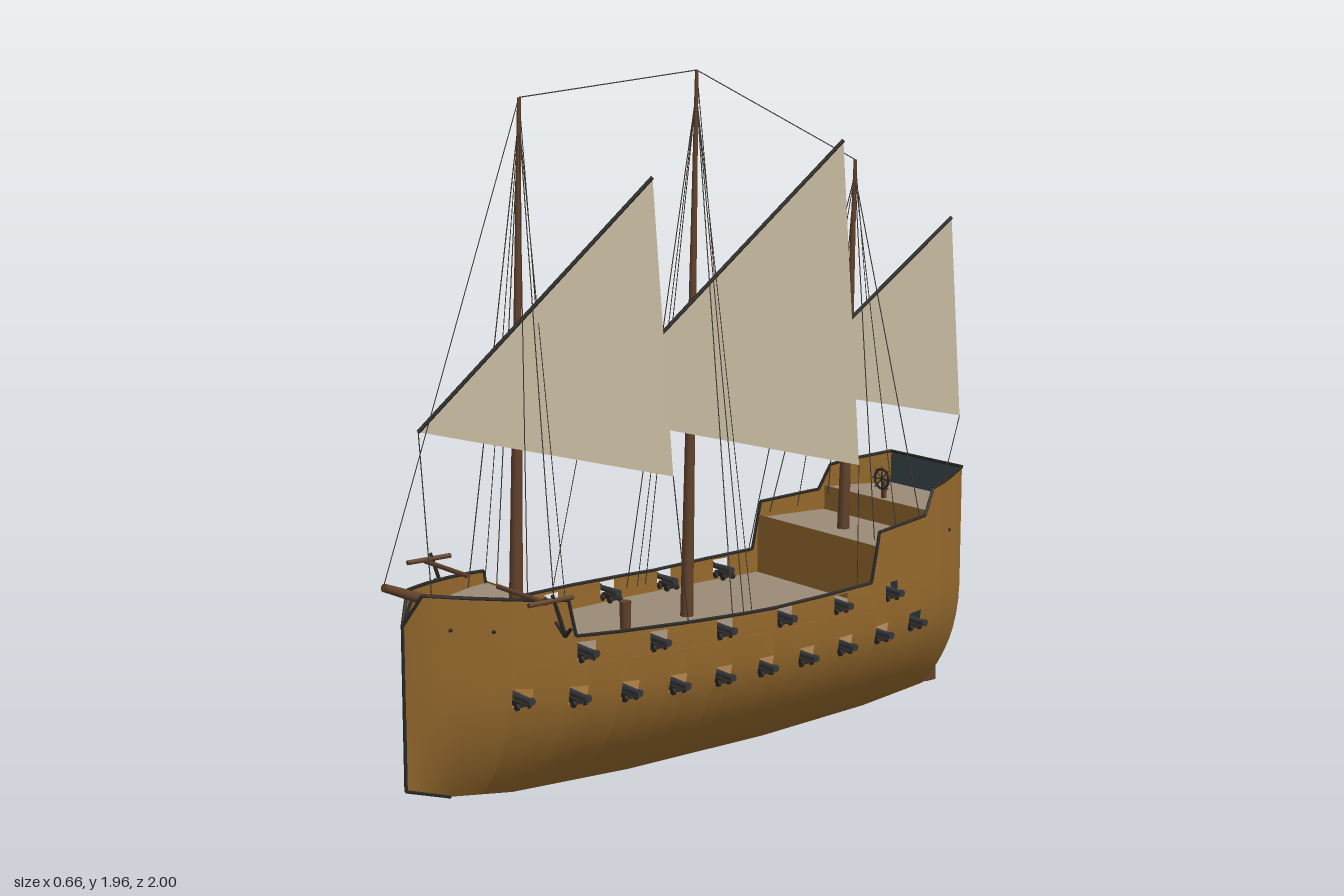
import * as THREE from 'three';

const mat = (name, color, side = THREE.FrontSide) => {
  const m = new THREE.MeshStandardMaterial({ color, side });
  m.name = name;
  return m;
};
const V = (x, y, z) => new THREE.Vector3(x, y, z);

// Piecewise-linear lookup in [z, value] points with descending z
function lookup(pts, z) {
  for (let i = 1; i < pts.length; i++) {
    const [a, va] = pts[i - 1], [b, vb] = pts[i];
    if (z >= b) return va + (vb - va) * Math.min(1, Math.max(0, (a - z) / (a - b)));
  }
  return pts[pts.length - 1][1];
}
const BEAM = [[0.94, 0], [0.9, 0.037], [0.85, 0.07], [0.8, 0.1], [0.7, 0.149], [0.6, 0.187], [0.5, 0.214],
  [0.4, 0.235], [0.2, 0.262], [0, 0.275], [-0.3, 0.275], [-0.5, 0.266], [-0.7, 0.24], [-0.8, 0.217], [-0.85, 0.2], [-0.95, 0.155]];
const KEEL = [[0.94, 0.1], [0.8, 0.055], [0.6, 0.025], [0.2, 0.007], [-0.3, 0.005], [-0.7, 0.02], [-0.95, 0.045]];
const RAIL = [[0.94, 0.55], [0.9, 0.635], [0.55, 0.6], [0.53, 0.5], [-0.1, 0.485], [-0.48, 0.495],
  [-0.51, 0.64], [-0.72, 0.655], [-0.76, 0.73], [-0.95, 0.76]];
const LOWER_GUNS = Array.from({ length: 10 }, (_, i) => 0.67 - i * 0.1505);
const UPPER_GUNS = Array.from({ length: 6 }, (_, i) => 0.5 - i * 0.214);
const PORT = 0.026;
const lowerY = z => 0.32 + 0.05 * z * z;
const upperY = 0.456;

// Half width of the hull at height y and station z
function halfWidth(z, y) {
  const k = lookup(KEEL, z), u = Math.min(1, Math.max(0, (y - k) / (0.42 - k)));
  return lookup(BEAM, z) * (1 - Math.pow(1 - u, 2.3));
}

// All stations along the hull, including the gun port edges
const STATIONS = [...new Set([...BEAM, ...KEEL, ...RAIL].map(p => p[0])
  .concat(...[...LOWER_GUNS, ...UPPER_GUNS].map(z => [z - PORT, z + PORT]))
  .map(z => +z.toFixed(3)))].sort((a, b) => a - b);

// Hull skin for one side, with open gun ports
function hullSide(s) {
  const pos = [], index = [], low = 9, n = low + 5;
  for (const z of STATIONS) {
    const k = lookup(KEEL, z), ys = [], first = lowerY(z) - PORT;
    for (let j = 0; j < low; j++) ys.push(k + (first - k) * Math.pow(j / low, 1.4));
    ys.push(first, lowerY(z) + PORT, upperY - PORT, upperY + PORT, lookup(RAIL, z));
    for (const y of ys) pos.push(s * halfWidth(z, y), y, z);
  }
  for (let i = 0; i < STATIONS.length - 1; i++) {
    const mid = (STATIONS[i] + STATIONS[i + 1]) / 2;
    const open = list => list.some(z => Math.abs(z - mid) < PORT);
    for (let j = 0; j < n - 1; j++) {
      if ((j === low && open(LOWER_GUNS)) || (j === low + 2 && open(UPPER_GUNS))) continue;
      const a = i * n + j, b = a + 1, c = b + n, d = a + n;
      if (s > 0) index.push(a, b, c, a, c, d);
      else index.push(a, c, b, a, d, c);
    }
  }
  return buffer(pos, index);
}
function buffer(pos, index) {
  const g = new THREE.BufferGeometry();
  g.setAttribute('position', new THREE.Float32BufferAttribute(pos, 3));
  g.setIndex(index);
  g.computeVertexNormals();
  return g;
}
// Flat ribbon through pairs of points
function strip(pairs) {
  const index = [];
  for (let i = 0; i < pairs.length - 1; i++) {
    const a = 2 * i;
    index.push(a, a + 1, a + 3, a, a + 3, a + 2);
  }
  return buffer(pairs.flatMap(([p, q]) => [...p.toArray(), ...q.toArray()]), index);
}
const across = (z, y) => [V(-halfWidth(z, y), y, z), V(halfWidth(z, y), y, z)];

export function createModel() {
  const ship = new THREE.Group();
  ship.name = 'sailingShip';
  const hullMat = mat('hullWood', 0x94682c, THREE.DoubleSide);
  const deckMat = mat('deckPlanks', 0x9a8b76, THREE.DoubleSide);
  const sailMat = mat('sailCloth', 0xcabea2, THREE.DoubleSide);
  const slate = mat('sternSlate', 0x3c484d, THREE.DoubleSide);
  const spar = mat('sparWood', 0x60402a);
  const dark = mat('darkTrim', 0x2b2926);
  const iron = mat('gunIron', 0x33363a);
  const ropeMat = mat('rope', 0x3d3730);

  const add = (name, geo, m, parent = ship) => {
    const mesh = new THREE.Mesh(geo, m);
    mesh.name = name;
    parent.add(mesh);
    return mesh;
  };
  // Tapered rod between two points
  const rod = (name, a, b, r0, r1, m, parent = ship, sides = 8) => {
    const d = b.clone().sub(a);
    const mesh = add(name, new THREE.CylinderGeometry(r1, r0, d.length(), sides), m, parent);
    mesh.position.copy(a).add(b).multiplyScalar(0.5);
    mesh.quaternion.setFromUnitVectors(V(0, 1, 0), d.normalize());
    return mesh;
  };
  const rope = (a, b) => rod('rope', a, b, 0.0015, 0.0015, ropeMat, ship, 4);
  const box = (name, w, h, d, x, y, z, m, parent = ship) => {
    const mesh = add(name, new THREE.BoxGeometry(w, h, d), m, parent);
    mesh.position.set(x, y, z);
    return mesh;
  };

  // Hull, rail caps, stem and transom
  const trimLine = (name, pts) => {
    for (let i = 1; i < pts.length; i++) rod(name, pts[i - 1], pts[i], 0.005, 0.005, dark, ship, 5);
  };
  const railStations = [...new Set([...BEAM, ...RAIL].map(p => p[0]))].sort((a, b) => a - b);
  for (const s of [1, -1]) {
    add('hullSide', hullSide(s), hullMat);
    trimLine('railCap', railStations.map(z => V(s * halfWidth(z, lookup(RAIL, z)), lookup(RAIL, z), z)));
  }
  trimLine('stem', [V(0, 0.055, 0.8), V(0, 0.1, 0.94), V(0, 0.55, 0.94), V(0, 0.63, 0.905)]);
  const sternYs = Array.from({ length: 17 }, (_, i) => 0.045 + 0.715 * Math.pow(i / 16, 1.5));
  add('transom', strip(sternYs.map(y => across(-0.95, y))), slate);
  trimLine('transomTop', across(-0.95, 0.76));

  // Stepped decks and the bulkheads between them
  for (const [name, y, z0, z1] of [['mainDeck', 0.42, -0.51, 0.54], ['foreDeck', 0.565, 0.54, 0.9],
    ['quarterDeck', 0.59, -0.74, -0.5], ['poopDeck', 0.66, -0.95, -0.74]]) {
    const zs = [z0, ...railStations.filter(z => z > z0 && z < z1), z1];
    add(name, strip(zs.map(z => across(z, y))), deckMat);
  }
  for (const [z, y0, y1] of [[0.54, 0.42, 0.57], [-0.5, 0.42, 0.6], [-0.74, 0.59, 0.665]])
    add('bulkhead', strip([across(z, y0), across(z, y1)]), hullMat);

  // Rudder and stern post
  box('sternPost', 0.014, 0.65, 0.012, 0, 0.375, -0.956, spar);
  box('rudder', 0.018, 0.17, 0.04, 0, 0.135, -0.98, spar);

  // Bowsprit
  rod('bowsprit', V(0, 0.555, 0.735), V(0, 0.665, 0.995), 0.019, 0.011, spar);

  // Cannons in the ports
  const cannon = (s, z, y) => {
    const g = new THREE.Group();
    g.name = 'cannon';
    rod('barrel', V(-0.05, 0, 0), V(0.05, 0, 0), 0.011, 0.008, iron, g);
    rod('muzzle', V(0.044, 0, 0), V(0.053, 0, 0), 0.011, 0.011, iron, g);
    box('carriage', 0.055, 0.014, 0.03, -0.012, -0.016, 0, dark, g);
    for (const x of [-0.03, 0.008])
      for (const e of [-1, 1]) rod('wheel', V(x, -0.022, e * 0.015), V(x, -0.022, e * 0.022), 0.01, 0.01, dark, g);
    g.position.set(s * (halfWidth(z, y) - 0.008), y, z);
    if (s < 0) g.rotation.y = Math.PI;
    ship.add(g);
  };
  for (const s of [1, -1]) {
    LOWER_GUNS.forEach(z => cannon(s, z, lowerY(z)));
    UPPER_GUNS.forEach(z => cannon(s, z, upperY));
    // Small hull fittings
    for (const [z, y] of [[0.84, 0.54], [0.74, 0.53], [-0.86, 0.585]]) {
      const stud = add('hullStud', new THREE.SphereGeometry(0.006, 6, 4), dark);
      stud.position.set(s * halfWidth(z, y), y, z);
    }
    // Cathead beam with a hanging anchor
    const x = s * 0.29;
    rod('cathead', V(s * 0.07, 0.632, 0.685), V(x, 0.632, 0.685), 0.007, 0.007, spar);
    rod('anchorStock', V(x, 0.635, 0.6), V(x, 0.635, 0.74), 0.007, 0.007, spar);
    rod('anchorShank', V(x, 0.65, 0.665), V(x, 0.535, 0.625), 0.005, 0.006, dark);
    for (const e of [-1, 1]) rod('anchorArm', V(x, 0.535, 0.625), V(x + e * 0.036, 0.565, 0.63), 0.007, 0.004, dark);
  }

  // Masts, lateen yards, sails and rigging
  const masts = [
    { foot: V(0, 0.56, 0.58), top: V(0, 1.91, 0.55), tack: V(-0.07, 1.045, 0.835), peak: V(0.2, 1.7, 0.265),
      clew: V(0.23, 0.895, 0.22), shrouds: [0.64, 0.57, 0.53], sheets: [[-0.06, 0.6, 0.81], [0.245, 0.49, 0.18]] },
    { foot: V(0, 0.42, -0.01), top: V(0, 1.965, -0.045), tack: V(-0.087, 1.025, 0.28), peak: V(0.228, 1.77, -0.385),
      clew: V(0.25, 0.845, -0.44), shrouds: [0.02, -0.02, -0.05], sheets: [[-0.24, 0.49, 0.29], [0.255, 0.49, -0.435]] },
    { foot: V(0, 0.59, -0.61), top: V(0, 1.69, -0.64), tack: V(-0.055, 1.03, -0.41), peak: V(0.165, 1.52, -0.875),
      clew: V(0.18, 0.925, -0.91), shrouds: [-0.52, -0.62, -0.73], sheets: [[-0.24, 0.495, -0.44], [0.19, 0.74, -0.84]] },
  ];
  for (const m of masts) {
    rod('mast', m.foot, m.top, 0.019, 0.005, spar, ship, 12);
    add('sail', strip([[m.tack, m.tack], [m.peak, m.clew]]), sailMat);
    rod('yard', m.tack, m.peak, 0.0055, 0.0055, dark);
    rope(m.top, m.tack.clone().lerp(m.peak, 0.5));
    for (const z of m.shrouds)
      for (const s of [1, -1]) rope(m.top.clone().lerp(m.foot, 0.04), V(s * (halfWidth(z, 0.5) - 0.03), lookup(RAIL, z) - 0.03, z));
    rope(m.tack, V(...m.sheets[0]));
    rope(m.clew, V(...m.sheets[1]));
  }
  rope(V(0, 0.665, 0.995), masts[0].top);
  rope(masts[0].top, masts[1].top);
  rope(masts[1].top, masts[2].top);

  // Deck post and steering wheel
  rod('capstan', V(0, 0.42, 0.21), V(0, 0.5, 0.21), 0.015, 0.017, spar);
  const wheel = add('steeringWheel', new THREE.TorusGeometry(0.03, 0.004, 6, 20), dark);
  wheel.position.set(0, 0.72, -0.765);
  for (let i = 0; i < 4; i++) {
    const a = i * Math.PI / 4, c = Math.cos(a) * 0.04, d = Math.sin(a) * 0.04;
    rod('wheelSpoke', V(-c, 0.72 - d, -0.765), V(c, 0.72 + d, -0.765), 0.002, 0.002, dark, ship, 5);
  }
  box('wheelStand', 0.012, 0.06, 0.012, 0, 0.69, -0.775, spar);
  return ship;
}
